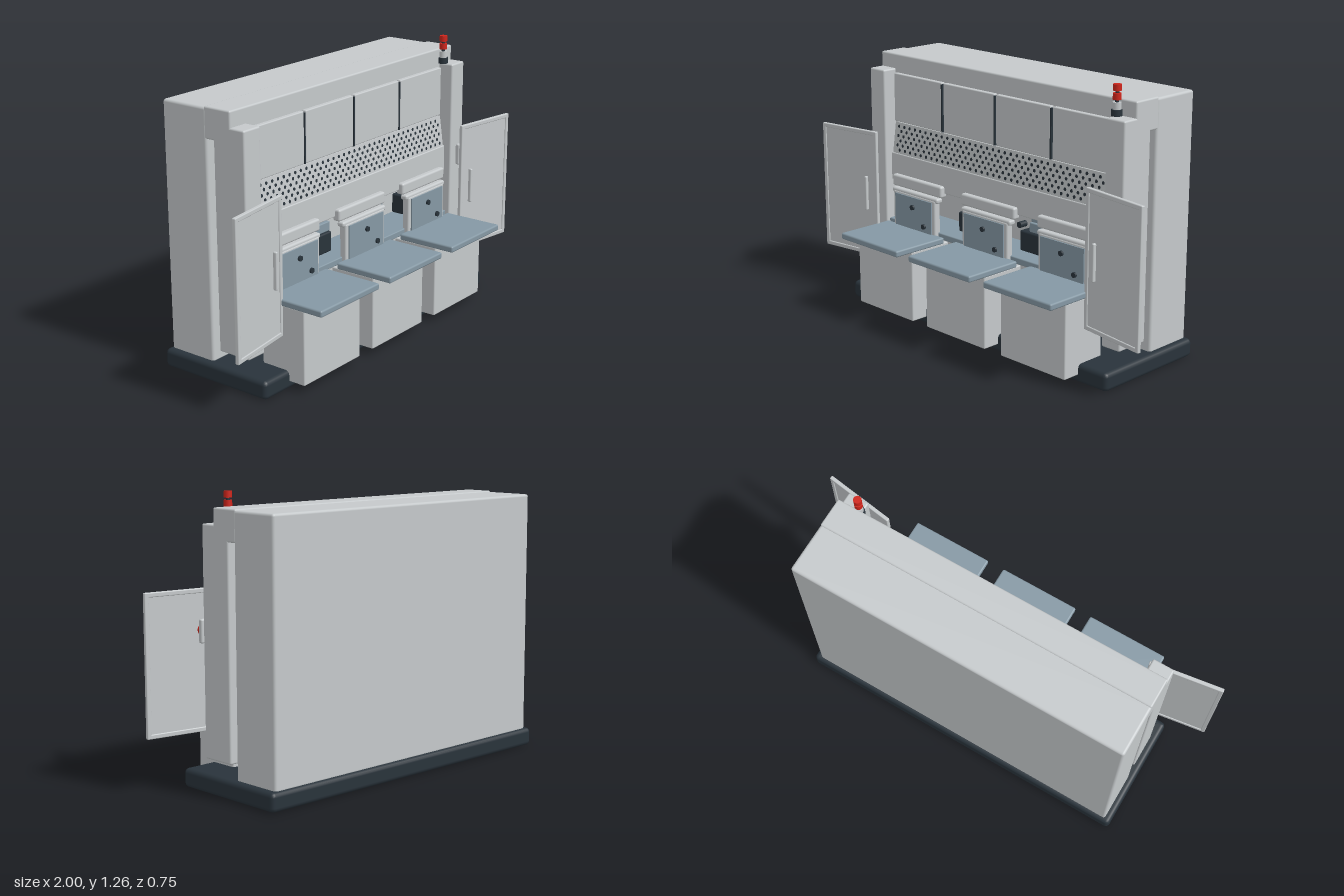
import * as THREE from 'three';
import { RoundedBoxGeometry } from 'three/addons/geometries/RoundedBoxGeometry.js';
import { mergeGeometries } from 'three/addons/utils/BufferGeometryUtils.js';

const material = (name, color) => Object.assign(new THREE.MeshStandardMaterial({ color }), { name });
const shell = material('light grey', 0xc5c9cb);
const dark = material('dark slate', 0x29333b);
const steel = material('blue grey', 0x8598a4);
const red = material('signal red', 0xd0251b);

function add(parent, name, geometry, mat, x = 0, y = 0, z = 0) {
  const mesh = new THREE.Mesh(geometry, mat);
  mesh.name = name;
  mesh.position.set(x, y, z);
  parent.add(mesh);
  return mesh;
}

// Box given by its extents, with softened edges when r > 0
function box(parent, name, mat, [x0, x1], [y0, y1], [z0, z1], r = 0.006) {
  const size = [x1 - x0, y1 - y0, z1 - z0];
  const geometry = r ? new RoundedBoxGeometry(...size, 2, r) : new THREE.BoxGeometry(...size);
  return add(parent, name, geometry, mat, (x0 + x1) / 2, (y0 + y1) / 2, (z0 + z1) / 2);
}

function group(parent, name, x = 0, y = 0, z = 0) {
  const g = new THREE.Group();
  g.name = name;
  g.position.set(x, y, z);
  parent.add(g);
  return g;
}

function cylinder(parent, name, mat, r, h, x, y, z, facing = false) {
  const geometry = new THREE.CylinderGeometry(r, r, h, 20);
  if (facing) geometry.rotateX(Math.PI / 2);
  return add(parent, name, geometry, mat, x, y, z);
}

// Sloped ventilation strip with staggered holes
function addVent(parent) {
  const vent = group(parent, 'vent', 0, 0.805, 0.042);
  vent.rotation.x = -0.14;
  box(vent, 'ventPanel', shell, [-0.67, 0.67], [-0.075, 0.075], [-0.03, 0], 0);
  const holes = [];
  for (let row = 0; row < 6; row++) {
    for (let i = 0; i < 35; i++) {
      const hole = new THREE.CircleGeometry(0.008, 8);
      hole.translate(-0.643 + i * 0.0373 + (row % 2) * 0.0187, 0.056 - row * 0.0224, 0.001);
      holes.push(hole);
    }
  }
  add(vent, 'ventHoles', mergeGeometries(holes), dark);
}

// Work station: pedestal, table top, control screen and hood
function addStation(parent, x) {
  const s = group(parent, 'station', x);
  box(s, 'pedestal', shell, [-0.19, 0.19], [0.035, 0.372], [0.053, 0.28]);
  box(s, 'tableTop', steel, [-0.198, 0.198], [0.37, 0.4], [0.085, 0.378], 0.008);
  box(s, 'screenFrame', shell, [-0.145, 0.145], [0.38, 0.565], [0.06, 0.096], 0.008);
  box(s, 'screenLip', shell, [-0.158, 0.158], [0.552, 0.577], [0.055, 0.093], 0.01);
  box(s, 'screenPanel', steel, [-0.126, 0.126], [0.4, 0.555], [0.094, 0.102], 0);
  for (const [kx, ky] of [[0, 0.508], [0.077, 0.43]]) {
    cylinder(s, 'knob', dark, 0.012, 0.012, kx, ky, 0.106, true);
  }
  box(s, 'hood', shell, [-0.17, 0.17], [0.58, 0.635], [0.04, 0.08], 0.01);
}

// Opened side door with raised rim on both faces; side is +1 or -1
function addDoor(parent, side) {
  const door = group(parent, side > 0 ? 'leftDoor' : 'rightDoor', side * 0.831, 0.542, 0.182);
  door.rotation.y = -side * 0.148;
  const w = 0.17, h = 0.308, t = 0.02;
  box(door, 'doorPanel', shell, [-w + 0.01, w - 0.01], [-h + 0.01, h - 0.01], [-0.004, 0.004], 0);
  for (const e of [-1, 1]) {
    const cx = e * (w - t / 2), cy = e * (h - t / 2);
    box(door, 'doorStile', shell, [cx - t / 2, cx + t / 2], [-h, h], [-0.009, 0.009], 0.004);
    box(door, 'doorRail', shell, [-w, w], [cy - t / 2, cy + t / 2], [-0.009, 0.009], 0.004);
  }
  const hx = -side * 0.107;
  box(door, 'doorHandle', shell, [hx - 0.007, hx + 0.007], [-0.082, 0.085], [0.004, 0.022], 0.005);
}

export function createModel() {
  const model = new THREE.Group();
  model.name = 'industrialMachine';

  // Base and rear cabinet
  box(model, 'base', dark, [-0.82, 0.82], [0, 0.083], [-0.377, 0.197], 0.02);
  box(model, 'rearCabinet', shell, [-0.79, 0.79], [0.075, 1.195], [-0.36, -0.12], 0.012);
  box(model, 'topBeam', shell, [-0.79, 0.79], [1.063, 1.2], [-0.131, 0.01], 0.008);
  for (const s of [-1, 1]) {
    box(model, 'column', shell, [s * 0.74 - 0.05, s * 0.74 + 0.05], [0.14, 1.13], [-0.082, 0.083], 0.008);
  }

  // Upper cupboards with dark gaps between them
  box(model, 'cupboardBack', shell, [-0.69, 0.69], [0.6, 1.1], [-0.08, 0.01], 0);
  for (let i = 0; i < 4; i++) {
    const x = -0.68 + i * 0.342;
    box(model, 'cupboardDoor', shell, [x, x + 0.33], [0.88, 1.112], [0, 0.03], 0.005);
    if (i < 3) box(model, 'cupboardGap', dark, [x + 0.329, x + 0.337], [0.88, 1.105], [0, 0.032], 0);
  }
  addVent(model);
  box(model, 'lowerFascia', shell, [-0.68, 0.68], [0.6, 0.733], [-0.02, 0.056], 0.005);

  // Shelf and the fixtures standing on it
  box(model, 'shelf', steel, [-0.68, 0.67], [0.38, 0.41], [-0.12, 0.075], 0.005);
  for (const x of [-0.2, 0.2, 0.57]) {
    const f = group(model, 'fixture', x);
    box(f, 'fixtureBody', dark, [-0.085, 0.085], [0.41, 0.505], [-0.115, -0.01], 0.008);
    box(f, 'fixtureBlock', steel, [-0.035, 0.085], [0.505, 0.55], [-0.11, -0.02], 0.005);
    box(f, 'fixtureClamp', steel, [-0.035, 0.03], [0.55, 0.572], [-0.1, -0.03], 0.005);
  }
  cylinder(model, 'fixtureKnob', dark, 0.014, 0.04, 0.15, 0.545, 0.01, true);

  for (const x of [-0.478, -0.004, 0.474]) addStation(model, x);
  for (const side of [-1, 1]) addDoor(model, side);

  // Emergency stop on the column
  const stop = group(model, 'emergencyStop', 0.765, 0.682, 0.083);
  box(stop, 'stopHousing', shell, [-0.034, 0.034], [-0.052, 0.05], [0, 0.022], 0.007);
  cylinder(stop, 'stopButton', red, 0.023, 0.02, 0, 0, 0.031, true);

  // Signal beacon
  const beacon = group(model, 'beacon', 0.697, 0, 0.025);
  cylinder(beacon, 'beaconFoot', dark, 0.023, 0.028, 0, 1.143, 0);
  cylinder(beacon, 'beaconCollar', shell, 0.018, 0.03, 0, 1.172, 0);
  cylinder(beacon, 'beaconPole', dark, 0.008, 0.07, 0, 1.21, 0);
  for (const y of [1.211, 1.248]) cylinder(beacon, 'beaconLamp', red, 0.018, 0.027, 0, y, 0);
  return model;
}
